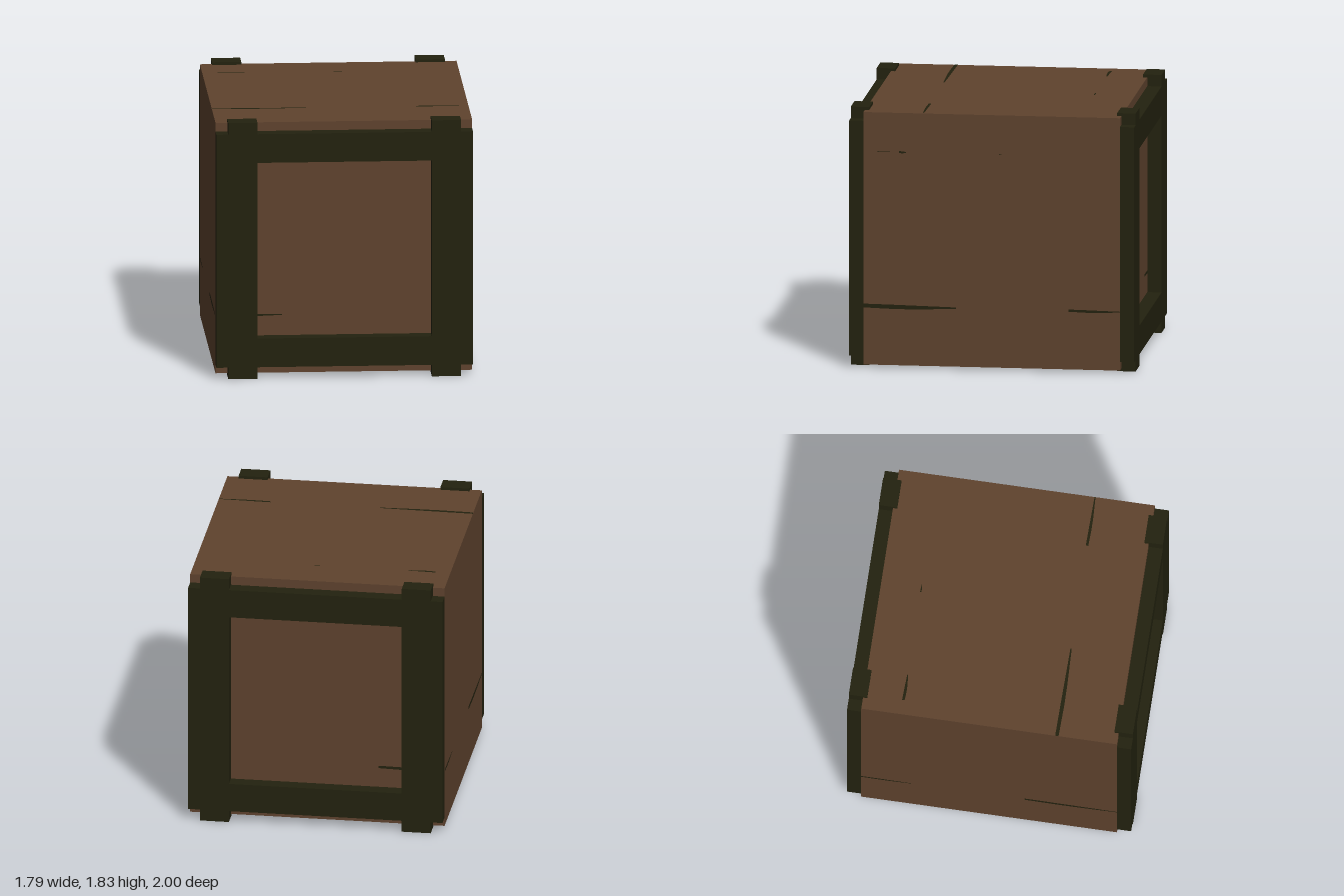
import * as THREE from 'three';

const HALF = 0.895, DEPTH = 0.9, MID = 0.915;

export function createModel() {
  const wood = new THREE.MeshStandardMaterial({ color: 0x5f432e });
  wood.name = 'brown wood';
  const dark = new THREE.MeshStandardMaterial({ color: 0x23220f });
  dark.name = 'dark timber';

  const model = new THREE.Group();
  model.name = 'crate';

  const add = (parent, name, geometry, material) => {
    const mesh = new THREE.Mesh(geometry, material);
    mesh.name = name;
    parent.add(mesh);
    return mesh;
  };

  // Crate body
  add(model, 'crateBody', new THREE.BoxGeometry(HALF * 2, 1.79, DEPTH * 2), wood).position.y = MID;

  // Frame of crossing posts and rails, cut as one outline with a square window
  const inner = 0.608, outer = 0.812, rail = 0.833, post = 0.915, win = 0.628;
  const quarter = [[HALF, win], [HALF, rail], [outer, rail], [outer, post], [inner, post], [inner, rail]];
  const flipX = quarter.map(([x, y]) => [-x, y]).reverse();
  const top = [...quarter, ...flipX];
  const outline = [...top, ...top.map(([x, y]) => [-x, -y])];
  const toPoints = (list) => list.map(([x, y]) => new THREE.Vector2(x, y));
  const frameShape = new THREE.Shape(toPoints(outline));
  frameShape.holes.push(new THREE.Path(toPoints([[-inner, -win], [-inner, win], [inner, win], [inner, -win]])));
  const frameGeometry = new THREE.ExtrudeGeometry(frameShape, { depth: 0.1, bevelEnabled: false });

  for (const [side, turn] of [['front', 0], ['back', Math.PI]]) {
    const frame = new THREE.Group();
    frame.name = side + 'Frame';
    frame.position.y = MID;
    frame.rotation.y = turn;
    add(frame, 'frameTimbers', frameGeometry, dark).position.z = DEPTH;
    // Post ends lap slightly over the body
    for (const x of [-1, 1]) for (const y of [-1, 1]) {
      add(frame, 'postEnd', new THREE.BoxGeometry(outer - inner, 0.03, 0.04), dark)
        .position.set(x * (inner + outer) / 2, y * (post - 0.015), DEPTH - 0.01);
    }
    model.add(frame);
  }

  // Cracks in the wood: thin tapered faces just above each panel
  const crack = (a, b, y, h) => {
    const at = (t, v) => new THREE.Vector2(a + (b - a) * t, y + v * h);
    return new THREE.ShapeGeometry(new THREE.Shape([
      at(0, -0.3), at(0.35, -0.5), at(0.6, -0.45), at(1, -0.15),
      at(1, 0.15), at(0.6, 0.3), at(0.35, 0.4), at(0, 0.5),
    ]));
  };
  const low = -0.48, high = 0.617;
  const panels = [
    // name, rotation x, rotation y, distance, cracks [from, to, height, width]
    ['front', 0, 0, DEPTH, [[-HALF, -0.43, low, 0.022], [0.75, HALF, low, 0.015]]],
    ['back', 0, Math.PI, DEPTH, [[0.43, HALF, low, 0.022], [-HALF, -0.75, low, 0.015]]],
    ['right', 0, Math.PI / 2, HALF, [[-DEPTH, -0.25, low, 0.034], [0.54, DEPTH, low, 0.02],
      [-0.8, -0.69, high, 0.006], [-0.65, -0.6, high, 0.016], [0.05, 0.07, high, 0.006]]],
    ['left', 0, -Math.PI / 2, HALF, [[0.25, DEPTH, low, 0.03], [-DEPTH, -0.54, low, 0.02]]],
    ['top', -Math.PI / 2, 0, 0.895, [[-HALF, -0.24, low, 0.03], [0.53, HALF, low, 0.022],
      [-0.79, -0.6, high, 0.022], [0.02, 0.08, high, 0.01]]],
  ];
  for (const [name, rx, ry, distance, cracks] of panels) {
    const panel = new THREE.Group();
    panel.name = name + 'Cracks';
    panel.position.y = MID;
    panel.rotation.set(rx, ry, 0);
    for (const c of cracks) add(panel, 'crack', crack(...c), dark).position.z = distance + 0.002;
    model.add(panel);
  }

  return model;
}
